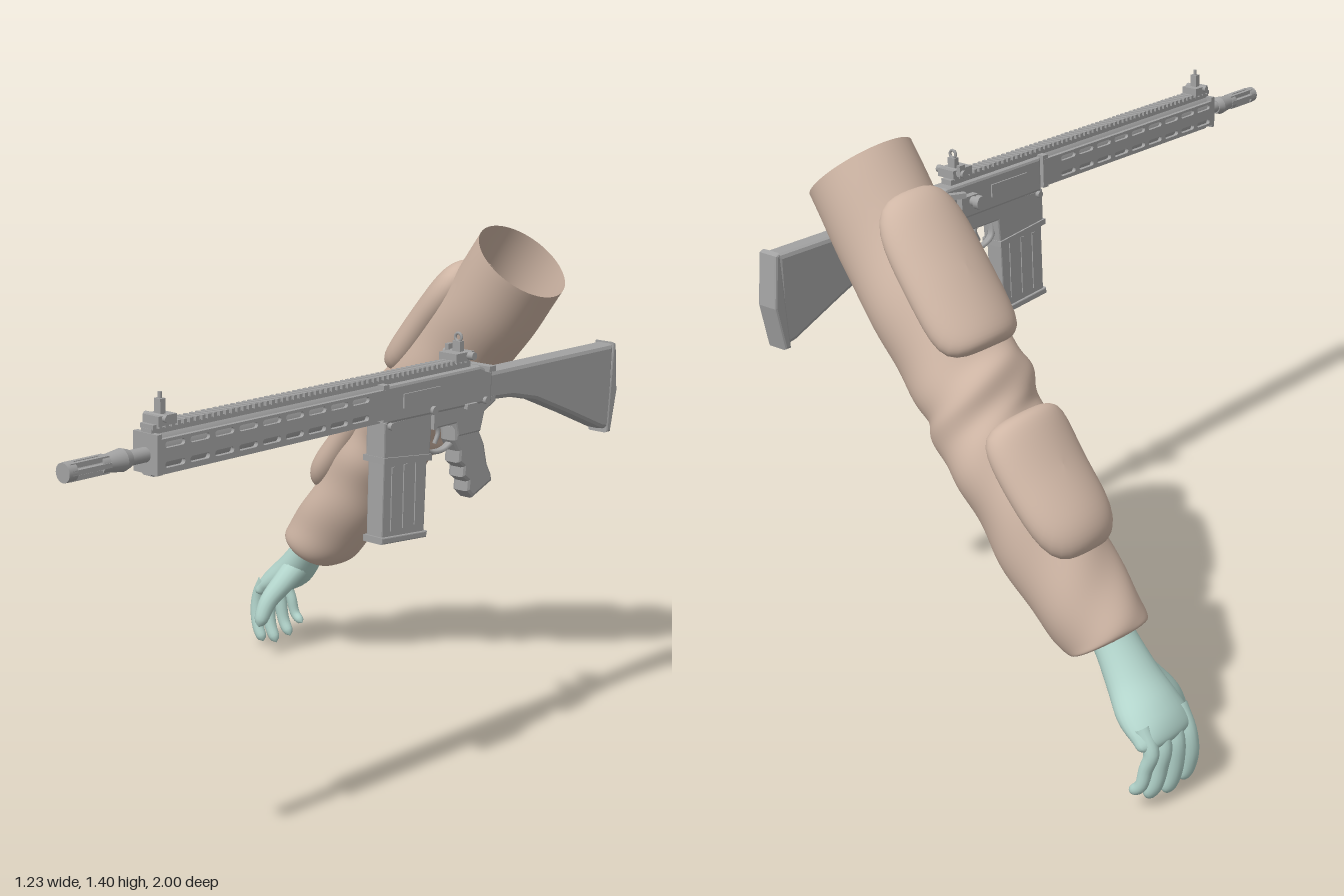
import * as THREE from 'three';
import { mergeGeometries } from 'three/addons/utils/BufferGeometryUtils.js';

const V = (x, y, z) => new THREE.Vector3(x, y, z);
const mat = (name, color, side = THREE.FrontSide) => {
  const m = new THREE.MeshStandardMaterial({ color, side });
  m.name = name;
  return m;
};

// Skin over closed rings of points
function loft(rings) {
  const n = rings[0].length, idx = [];
  for (let i = 0; i < rings.length - 1; i++)
    for (let j = 0; j < n; j++) {
      const k = (j + 1) % n, a = i * n + j, b = i * n + k, c = a + n, d = b + n;
      idx.push(a, c, b, b, c, d);
    }
  const g = new THREE.BufferGeometry().setFromPoints(rings.flat());
  g.setIndex(idx);
  g.computeVertexNormals();
  return g;
}

// Smooth limb: rows are [xLeft, yLeft, xRight, yRight, zCentre, zRadius]
function limb(rows) {
  const L = new THREE.CatmullRomCurve3(rows.map(r => V(r[0], r[1], 0)), false, 'catmullrom');
  const R = new THREE.CatmullRomCurve3(rows.map(r => V(r[2], r[3], 0)), false, 'catmullrom');
  const Z = new THREE.CatmullRomCurve3(rows.map(r => V(r[4], r[5], 0)), false, 'catmullrom');
  return (t, a, off = 0) => {
    const l = L.getPoint(t), r = R.getPoint(t), z = Z.getPoint(t);
    const A = l.clone().sub(r).multiplyScalar(0.5);
    const rad = A.length() + off;
    return l.add(r).multiplyScalar(0.5).addScaledVector(A.normalize(), Math.cos(a) * rad)
      .add(V(0, 0, z.x + Math.sin(a) * (z.y + off)));
  };
}
const rings = (count, n, f) => Array.from({ length: count + 1 }, (_, i) =>
  Array.from({ length: n }, (_, j) => f(i / count, j / n * Math.PI * 2)));

// Tapered round-tipped finger along a path
function finger(points, r0, r1) {
  const c = new THREE.CatmullRomCurve3(points.map(p => V(...p)));
  const rows = rings(20, 14, (t, a) => {
    const T = c.getTangent(t), A = V(0, 0, 1).addScaledVector(T, -T.z).normalize();
    const B = T.clone().cross(A).negate();
    const tip = t > 0.86 ? Math.sqrt(Math.max(0.0004, 1 - ((t - 0.86) / 0.14) ** 2)) : 1;
    const r = (r0 + (r1 - r0) * t) * tip;
    return c.getPoint(t).addScaledVector(A, Math.cos(a) * r).addScaledVector(B, Math.sin(a) * r);
  });
  return loft(rows);
}

// Side outline of [z, y] points, extruded across x
function sideShape(pts, width, bevel = 0, holes = []) {
  const s = new THREE.Shape(pts.map(p => new THREE.Vector2(...p)));
  s.holes = holes;
  const depth = width - 2 * bevel;
  return new THREE.ExtrudeGeometry(s, {
    depth, bevelEnabled: bevel > 0, bevelThickness: bevel, bevelSize: bevel,
    bevelOffset: -bevel, bevelSegments: 2, curveSegments: 6,
  }).translate(0, 0, -depth / 2).rotateY(-Math.PI / 2);
}
const box = (x, y, z, w, h, d) => new THREE.BoxGeometry(w, h, d).translate(x, y, z);
const rodZ = (r0, r1, z0, z1, y, sides = 20, x = 0) => // r0 at z0, r1 at z1
  new THREE.CylinderGeometry(r1, r0, z1 - z0, sides).rotateX(Math.PI / 2).translate(x, y, (z0 + z1) / 2);
const rodX = (r, x0, x1, y, z, sides = 14) =>
  new THREE.CylinderGeometry(r, r, x1 - x0, sides).rotateZ(Math.PI / 2).translate((x0 + x1) / 2, y, z);

export function createModel() {
  const model = new THREE.Group();
  const cloth = mat('tan cloth', 0xcfb6a5, THREE.DoubleSide);
  const skin = mat('pale teal glove', 0xb3d5cc);
  const metal = mat('grey metal', 0xa2a2a2);
  const add = (parent, name, geo, material) => {
    const m = new THREE.Mesh(geo, material);
    m.name = name;
    parent.add(m);
  };

  // Sleeve with soft folds
  const arm = new THREE.Group();
  arm.name = 'arm';
  model.add(arm);
  const sleeve = limb([
    [0.28, 1.4, 0.49, 1.23, -0.8, 0.135], [0.17, 1.25, 0.385, 1.09, -0.81, 0.138],
    [0.06, 1.12, 0.28, 0.97, -0.825, 0.14], [-0.04, 1.0, 0.18, 0.865, -0.835, 0.14],
    [-0.1, 0.95, 0.1, 0.785, -0.84, 0.142], [-0.13, 0.885, 0.075, 0.745, -0.848, 0.142],
    [-0.17, 0.835, 0.01, 0.68, -0.857, 0.139], [-0.24, 0.74, -0.06, 0.6, -0.865, 0.134],
    [-0.33, 0.63, -0.14, 0.49, -0.865, 0.128], [-0.41, 0.51, -0.23, 0.375, -0.86, 0.118],
    [-0.475, 0.425, -0.3, 0.315, -0.857, 0.108], [-0.475, 0.397, -0.335, 0.31, -0.857, 0.094],
    [-0.445, 0.39, -0.355, 0.335, -0.855, 0.066]]);
  add(arm, 'sleeve', loft(rings(96, 48, (t, a) => sleeve(t, a,
    0.006 * Math.sin(Math.PI * t) * Math.sin(t * 42 + 2 * Math.sin(a)) * Math.sin(2 * a + t * 9)))), cloth);

  // Raised rounded pads on the outside of the sleeve
  const pad = (name, t0, t1, spread, thick) => add(arm, name, loft(rings(16, 48, (q, a) => {
    const s = Math.max(0.002, Math.sin(q * Math.PI / 2));
    const c = Math.cos(a), d = Math.sin(a), k = s / (c ** 4 + d ** 4) ** 0.25;
    const off = thick * Math.sqrt(Math.max(0, 1 - s ** 5)) - 0.007 * s ** 8;
    return sleeve((t0 + t1) / 2 + k * c * (t1 - t0) / 2, k * d * spread, off);
  })), cloth);
  pad('upperArmPad', 0.055, 0.27, 0.98, 0.043);
  pad('elbowPad', 0.475, 0.705, 0.98, 0.046);

  // Hand: palm, four curled fingers, thumb
  const palm = limb([
    [-0.42, 0.42, -0.34, 0.36, -0.85, 0.058], [-0.45, 0.375, -0.375, 0.32, -0.85, 0.058],
    [-0.515, 0.305, -0.42, 0.255, -0.858, 0.07], [-0.57, 0.258, -0.475, 0.205, -0.874, 0.088],
    [-0.6, 0.222, -0.53, 0.175, -0.88, 0.092], [-0.612, 0.187, -0.562, 0.16, -0.88, 0.084],
    [-0.598, 0.165, -0.592, 0.163, -0.88, 0.01]]);
  add(arm, 'palm', loft(rings(36, 28, palm)), skin);
  [[-0.815, -0.805, 0.018, 0.024], [-0.86, -0.855, 0.004, 0.025],
    [-0.905, -0.91, 0.016, 0.024], [-0.945, -0.955, 0.05, 0.02]].forEach(([z0, z1, tip, r], i) => {
    const dx = i * 0.006;
    add(arm, 'finger', finger([[-0.565, 0.22, z0], [-0.594, 0.165, z0], [-0.6 + dx, 0.105 + tip / 3, (z0 + z1) / 2],
      [-0.588 + dx, 0.05 + tip / 2, z1], [-0.566 + dx * 1.5, tip, z1]], r, r * 0.68), skin);
  });
  add(arm, 'thumb', finger([[-0.45, 0.29, -0.84], [-0.462, 0.24, -0.785], [-0.482, 0.18, -0.735],
    [-0.49, 0.105, -0.703]], 0.042, 0.02), skin);

  // Rifle, built around its own centre line
  const gun = new THREE.Group();
  gun.name = 'rifle';
  gun.position.x = 0.567;
  model.add(gun);
  const part = (name, ...geos) => {
    const flat = geos.map(g => g.index ? g.toNonIndexed() : g);
    add(gun, name, mergeGeometries(flat), metal);
  };
  const bore = 1.077;
  part('barrel', rodZ(0.017, 0.017, 0.7, 0.9, bore), rodZ(0.02, 0.026, 0.815, 0.835, bore),
    rodZ(0.026, 0.02, 0.835, 0.88, bore));
  const prongs = [];
  for (let i = 0; i < 6; i++) {
    const a = i * Math.PI / 3;
    prongs.push(box(Math.cos(a) * 0.016, bore + Math.sin(a) * 0.016, 0.935, 0.011, 0.011, 0.11));
  }
  part('flashHider', rodZ(0.012, 0.012, 0.88, 0.97, bore), rodZ(0.021, 0.021, 0.88, 0.9, bore),
    rodZ(0.022, 0.022, 0.975, 1.0, bore), ...prongs);

  // Handguard: faceted core with slotted side panels
  const slots = [];
  for (let i = 0; i < 9; i++)
    for (const y of [1.056, 1.1]) {
      const z = 0.08 + i * 0.076, h = 0.007, p = new THREE.Path();
      p.absarc(z + 0.046, y, h, -Math.PI / 2, Math.PI / 2);
      p.absarc(z, y, h, Math.PI / 2, Math.PI * 1.5);
      slots.push(p);
    }
  const panel = x => sideShape([[0, 1.042], [0.755, 1.042], [0.755, 1.114], [0, 1.114]], 0.011, 0, slots).translate(x, 0, 0);
  const core = rodZ(0.054, 0.054, 0, 0.76, 0, 8).rotateZ(Math.PI / 8).scale(0.6, 1, 1).translate(0, 1.08, 0);
  part('handguard', core, panel(0.033), panel(-0.033), box(0, 1.035, 0.38, 0.03, 0.014, 0.75),
    box(0, 1.08, 0.757, 0.076, 0.09, 0.014), box(0, 1.08, 0.01, 0.076, 0.09, 0.02));
  const teeth = [];
  for (let z = 0.755; z > -0.33; z -= 0.0185) teeth.push(box(0, 1.138, z, 0.042, 0.011, 0.0095));
  part('topRail', box(0, 1.127, 0.213, 0.034, 0.014, 1.095), ...teeth);

  // Receiver
  part('upperReceiver', sideShape([[0.0, 1.025], [0.0, 1.12], [-0.36, 1.12], [-0.41, 1.1], [-0.41, 1.02]], 0.062, 0.008),
    box(0.032, 1.075, -0.13, 0.006, 0.035, 0.14), box(-0.032, 1.075, -0.13, 0.006, 0.035, 0.14));
  part('lowerReceiver', sideShape([[0.005, 1.03], [0.005, 0.935], [-0.17, 0.915], [-0.175, 0.985], [-0.27, 0.985],
    [-0.28, 0.95], [-0.37, 0.95], [-0.385, 1.0], [-0.43, 1.02], [-0.43, 1.04]], 0.058, 0.005),
    sideShape([[0.008, 0.945], [0.008, 0.93], [-0.172, 0.91], [-0.172, 0.926]], 0.068));
  part('controls', rodX(0.011, 0.02, 0.04, 1.035, -0.175), rodX(0.009, -0.04, 0.04, 1.03, -0.38),
    rodX(0.009, -0.04, 0.04, 1.02, -0.015), box(0.033, 1.01, -0.178, 0.012, 0.045, 0.014),
    box(0.033, 1.025, -0.32, 0.014, 0.012, 0.04));
  part('chargingHandle', box(0, 1.11, -0.39, 0.09, 0.014, 0.025),
    box(0, 0, 0, 0.018, 0.014, 0.07).rotateY(-0.5).translate(-0.06, 1.11, -0.375));
  part('forwardAssist', box(-0.035, 1.075, -0.3, 0.03, 0.03, 0.06),
    rodX(0.013, -0.07, -0.03, 1.075, -0.29), rodX(0.019, -0.084, -0.066, 1.075, -0.29));

  // Magazine with ribs and a foot plate
  part('magazine', sideShape([[0.0, 0.95], [0.002, 0.735], [-0.16, 0.722], [-0.165, 0.93]], 0.05, 0.004),
    sideShape([[0.008, 0.745], [0.008, 0.728], [-0.162, 0.715], [-0.166, 0.731]], 0.062, 0.003),
    ...[-0.035, -0.08, -0.125].map(z => box(0, 0.835, z, 0.056, 0.16, 0.012)));

  // Trigger and guard
  const guard = new THREE.CatmullRomCurve3([V(0, 0.985, -0.17), V(0, 0.94, -0.175), V(0, 0.922, -0.2),
    V(0, 0.918, -0.25), V(0, 0.935, -0.29)]);
  const trigger = new THREE.CatmullRomCurve3([V(0, 0.995, -0.225), V(0, 0.965, -0.235), V(0, 0.938, -0.222)]);
  part('triggerGuard', new THREE.TubeGeometry(guard, 20, 0.006, 6).scale(2.2, 1, 1));
  part('trigger', new THREE.TubeGeometry(trigger, 8, 0.006, 6));

  // Pistol grip with finger notches
  part('grip', sideShape([[-0.272, 0.975], [-0.272, 0.94], [-0.292, 0.91], [-0.29, 0.88], [-0.31, 0.865],
    [-0.308, 0.84], [-0.33, 0.825], [-0.328, 0.8], [-0.352, 0.778], [-0.432, 0.81], [-0.428, 0.83],
    [-0.41, 0.86], [-0.395, 0.915], [-0.365, 0.965], [-0.375, 1.0], [-0.3, 1.0]], 0.05, 0.01));

  // Stock and butt plate
  part('stock', sideShape([[-0.39, 1.1], [-0.94, 1.1], [-0.94, 0.865], [-0.9, 0.872], [-0.75, 0.935],
    [-0.6, 0.995], [-0.5, 1.018], [-0.39, 1.025]], 0.058, 0.012));
  part('buttPlate', sideShape([[-0.935, 1.105], [-0.948, 1.1], [-0.962, 0.97], [-0.94, 0.858], [-0.92, 0.858]], 0.062, 0.006));

  // Fold-up sights
  part('frontSight', box(0, 1.15, 0.72, 0.05, 0.022, 0.055), box(0, 1.175, 0.72, 0.02, 0.04, 0.016),
    rodX(0.008, -0.035, 0.035, 1.155, 0.73), new THREE.CylinderGeometry(0.005, 0.005, 0.035, 8).translate(0, 1.192, 0.72));
  part('rearSight', box(0, 1.15, -0.3, 0.055, 0.022, 0.07), box(0, 1.17, -0.305, 0.024, 0.034, 0.016),
    rodX(0.01, -0.05, 0.045, 1.152, -0.315), box(-0.036, 1.16, -0.315, 0.012, 0.03, 0.02),
    new THREE.TorusGeometry(0.01, 0.004, 6, 16).translate(0, 1.196, -0.305));
  return model;
}
